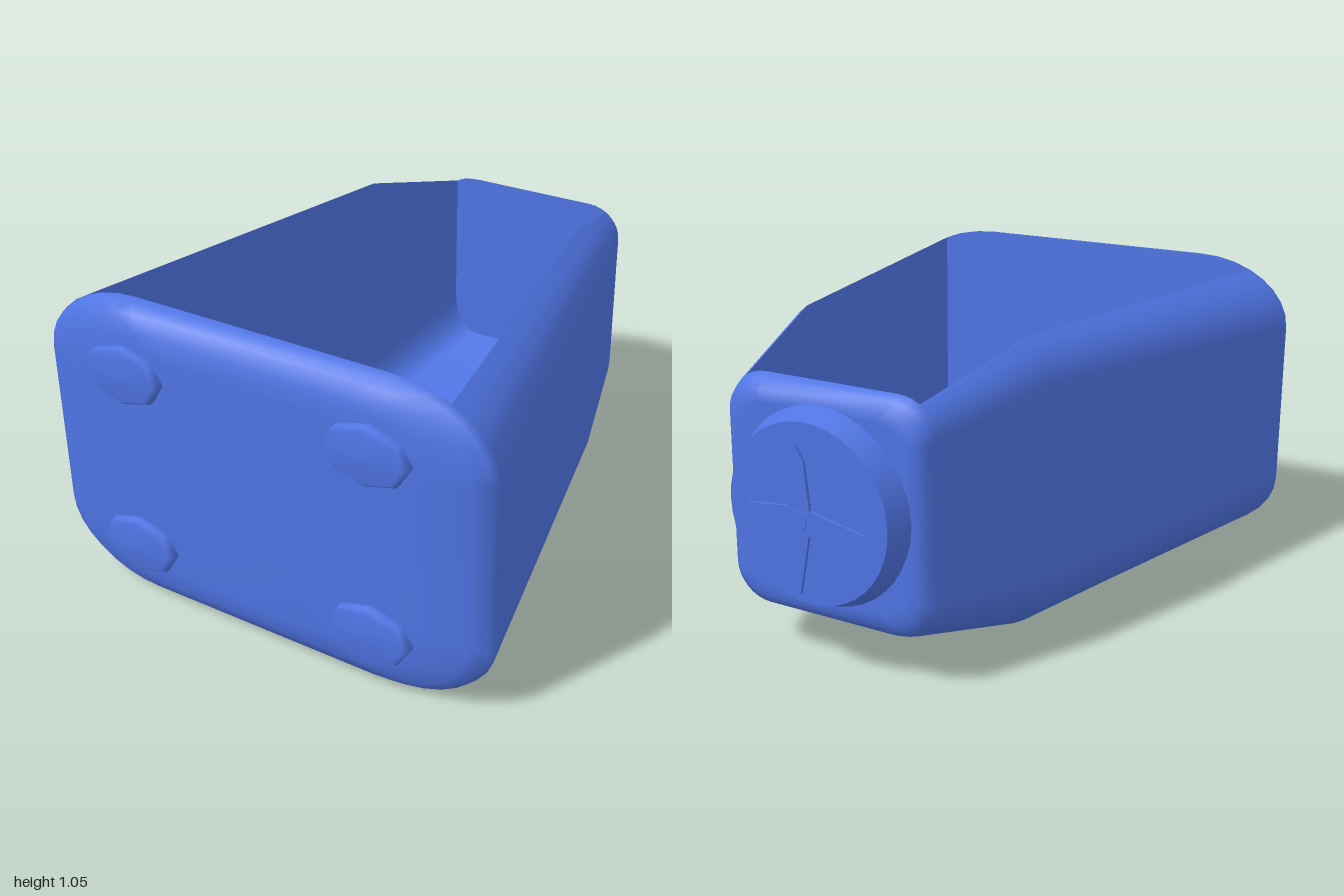
import * as THREE from 'three';
import { toCreasedNormals } from 'three/addons/utils/BufferGeometryUtils.js';

const material = new THREE.MeshStandardMaterial({ color: 0x4f74e3 });
const STEPS = 8; // segments per rounded corner
const RIM_A = 5, RIM_B = 2 * STEPS + 1 - RIM_A; // ring points on the opening's edges

// Rounded rectangle with elliptical corners, counter-clockwise seen from the front
function section([z, hw, y0, y1, rx, ry]) {
  const pts = [];
  for (let c = 0; c < 4; c++) {
    const cx = (c === 0 || c === 3 ? 1 : -1) * (hw - rx);
    const cy = c < 2 ? y1 - ry : y0 + ry;
    for (let k = 0; k <= STEPS; k++) {
      const a = (c + k / STEPS) * Math.PI / 2;
      pts.push([cx + rx * Math.cos(a), cy + ry * Math.sin(a), z]);
    }
  }
  return pts;
}

// Skin rings running front to back, with fan caps; isOpen(i, j) leaves a cell out
function loft(rings, isOpen, inward = false) {
  const n = rings[0].length, last = rings.length - 1;
  const pos = rings.flat(2), idx = [];
  const tri = (a, b, c) => (inward ? idx.push(a, c, b) : idx.push(a, b, c));
  for (let i = 0; i < last; i++) {
    for (let j = 0; j < n; j++) {
      if (isOpen(i, j)) continue;
      const a = i * n + j, b = i * n + (j + 1) % n;
      tri(a, a + n, b);
      tri(b, a + n, b + n);
    }
  }
  [0, last].forEach((r, e) => {
    const ys = rings[r].map(p => p[1]);
    pos.push(0, (Math.min(...ys) + Math.max(...ys)) / 2, rings[r][0][2]);
    const c = rings.length * n + e;
    for (let j = 0; j < n; j++) {
      const a = r * n + j, b = r * n + (j + 1) % n;
      if (e === 0) tri(c, a, b); else tri(c, b, a);
    }
  });
  const g = new THREE.BufferGeometry();
  g.setAttribute('position', new THREE.Float32BufferAttribute(pos, 3));
  g.setIndex(idx);
  g.computeVertexNormals();
  return g;
}

// Inner ring: the rim's top span, then walls falling to a rounded floor
function cavitySection(params, floor) {
  const top = section(params).slice(RIM_A, RIM_B + 1);
  const x = top[0][0], rx = 0.09, ry = 0.16, pts = [...top];
  for (const side of [-1, 1]) {
    for (let k = 0; k <= 6; k++) {
      const a = (side < 0 ? k : 6 - k) / 6 * Math.PI / 2;
      pts.push([side * (x - rx + rx * Math.cos(a)), floor + ry - ry * Math.sin(a), params[2] === undefined ? 0 : params[0]]);
    }
  }
  return pts;
}

export function createModel() {
  const model = new THREE.Group();
  const add = (name, geometry, x = 0, y = 0, z = 0, parent = model) => {
    const mesh = new THREE.Mesh(geometry, material);
    mesh.name = name;
    mesh.position.set(x, y, z);
    parent.add(mesh);
    return mesh;
  };

  // Hull stations: z, half width, bottom, top, corner radius in x and y
  const front = [0.87, 0.8, 0, 1.05, 0.35, 0.24];
  const middle = [-0.38, 0.5, 0.03, 1.035, 0.2, 0.2];
  const back = [-0.82, 0.37, 0.15, 0.907, 0.13, 0.12];
  const stations = [
    [0.962, 0.42, 0.14, 0.91, 0.18, 0.15],
    [0.953, 0.6, 0.075, 0.975, 0.26, 0.2],
    [0.93, 0.74, 0.03, 1.025, 0.32, 0.23],
    [0.9, 0.79, 0.005, 1.047, 0.345, 0.24],
    front, middle, back,
    [-0.855, 0.357, 0.165, 0.893, 0.125, 0.115],
    [-0.875, 0.33, 0.195, 0.865, 0.11, 0.1],
    [-0.88, 0.29, 0.235, 0.83, 0.09, 0.08],
  ];
  const open = (i, j) => (i === 4 || i === 5) && j >= RIM_A && j < RIM_B;
  add('hull', loft(stations.map(section), open));

  // Hollow inside
  const inner = [
    cavitySection(front, 0.13), cavitySection(middle, 0.15), cavitySection(back, 0.25),
  ];
  const cavity = loft(inner, (i, j) => j < RIM_B - RIM_A, true);
  add('cavity', toCreasedNormals(cavity, 0.6));

  // Four flat eight-sided knobs on the front
  const knob = new THREE.LatheGeometry(
    [[1, 0], [1, 0.022], [0.88, 0.035], [0, 0.04]].map(p => new THREE.Vector2(...p)), 8);
  knob.rotateX(Math.PI / 2);
  knob.scale(0.145, 0.095, 1);
  for (const x of [-0.435, 0.435]) {
    for (const y of [0.22, 0.835]) add('frontKnob', knob, x, y, 0.96);
  }

  // Round tapered mount and propeller at the back
  const disc = (r0, r1, depth, sides) =>
    new THREE.CylinderGeometry(r0, r1, depth, sides).rotateX(Math.PI / 2);
  add('propellerMount', disc(0.32, 0.285, 0.09, 40), 0, 0.535, -0.91);

  const propeller = new THREE.Group();
  propeller.name = 'propeller';
  propeller.position.set(0, 0.53, 0);
  model.add(propeller);
  add('shaft', disc(0.022, 0.022, 0.05, 16), 0, 0, -0.97, propeller);
  add('hub', disc(0.035, 0.03, 0.018, 16), 0, 0, -0.991, propeller);

  // Four pointed blades as one star outline
  const outline = [];
  for (let q = 0; q < 4; q++) {
    for (const [r, a] of [[0.23, 0], [0.185, 0.14], [0.055, 0.85]]) {
      const t = q * Math.PI / 2 + a;
      outline.push(new THREE.Vector2(r * Math.cos(t), r * Math.sin(t)));
    }
  }
  const blades = new THREE.ExtrudeGeometry(new THREE.Shape(outline), { depth: 0.01, bevelEnabled: false });
  add('blades', blades, 0, 0, -0.997, propeller);

  return model;
}
